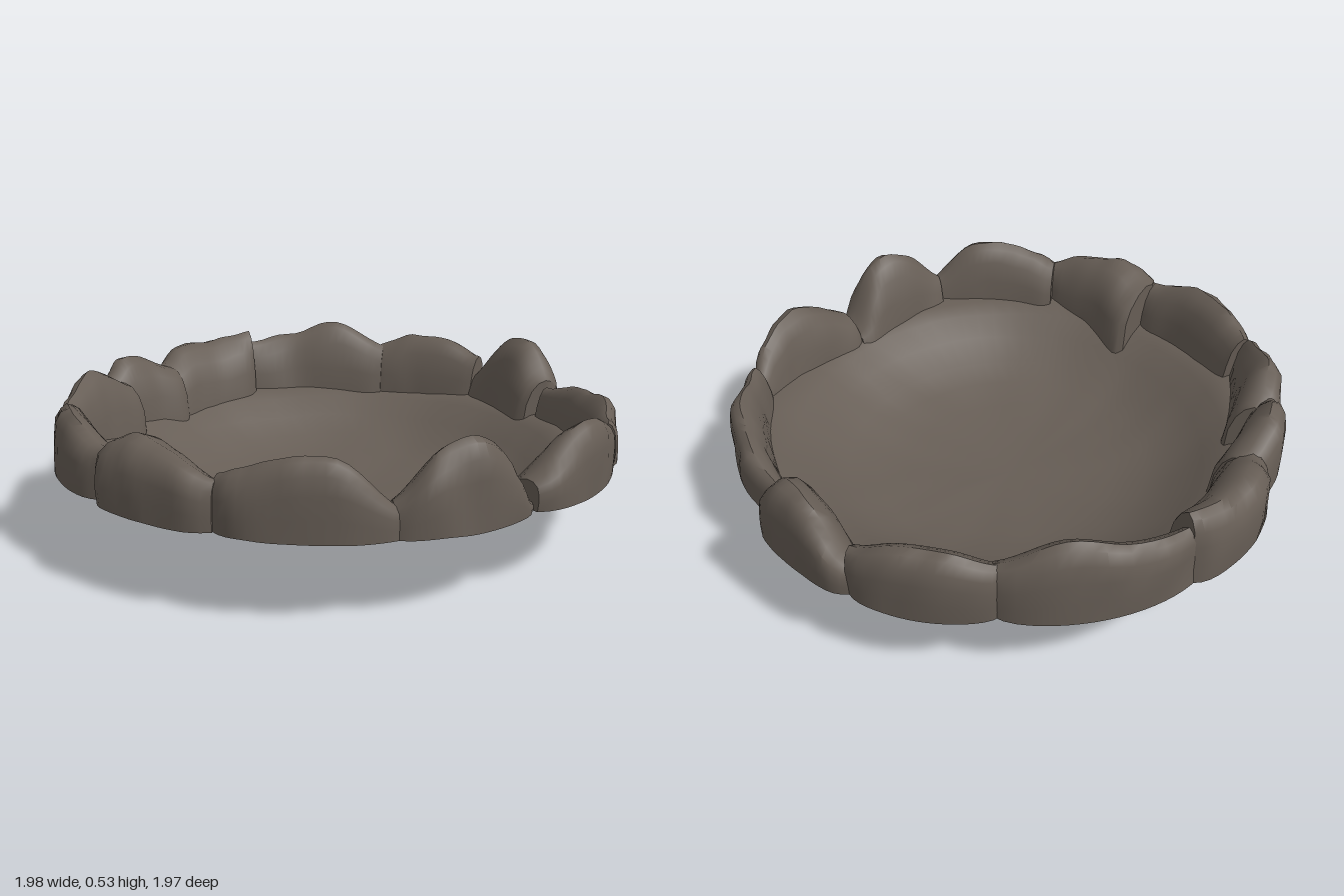
import * as THREE from 'three';
import { mergeVertices, toCreasedNormals } from 'three/addons/utils/BufferGeometryUtils.js';

const stoneMat = new THREE.MeshStandardMaterial({ color: 0x665d55 });
stoneMat.name = 'dark stone';

// Underside of the bowl: radius, height
const BOWL = [[0, 0.003], [0.2, 0.012], [0.38, 0.03], [0.5, 0.06], [0.6, 0.1], [0.7, 0.165], [0.78, 0.225], [0.84, 0.25], [0.93, 0.262]];

function bowlHeight(r) {
  const i = Math.max(1, BOWL.findIndex((p) => r <= p[0]));
  return THREE.MathUtils.mapLinear(r, BOWL[i - 1][0], BOWL[i][0], BOWL[i - 1][1], BOWL[i][1]);
}

// Gentle lumps, roughly -1 to 1
const lumps = (x, y, z) =>
  (Math.sin(9 * x + 4 * z + 5 * y) + Math.sin(13 * z - 6 * x + 2) + Math.sin(17 * x + 11 * y + 1) * 0.7) / 2.7;

// Thin bowl with an uneven surface
function makeBowl() {
  const under = BOWL.map(([r, y]) => new THREE.Vector2(r, y));
  const inside = BOWL.map(([r, y]) => new THREE.Vector2(r * 0.995, y + 0.014)).reverse();
  let geo = new THREE.LatheGeometry([...under, ...inside], 72);
  geo.deleteAttribute('uv');
  geo.deleteAttribute('normal');
  const p = geo.attributes.position;
  for (let i = 0; i < p.count; i++) {
    const x = p.getX(i), z = p.getZ(i);
    const bump = 0.006 * lumps(x, 0, z) + 0.003 * lumps(2.3 * z, 1, 2.3 * x) - 0.003;
    p.setY(i, Math.max(0, p.getY(i) + bump));
  }
  geo = mergeVertices(geo, 1e-4);
  geo.computeVertexNormals();
  return new THREE.Mesh(geo, stoneMat);
}

// Rim stones: start and end angle (from +x toward +z), outer radii, inner radii, four top heights
const STONES = [
  [-14.5, 12, 0.985, 1, 0.85, 0.77, 0.34, 0.5, 0.53, 0.4],
  [13.5, 54, 0.94, 0.985, 0.825, 0.88, 0.38, 0.42, 0.43, 0.4],
  [52.5, 87.5, 0.965, 0.97, 0.9, 0.78, 0.33, 0.46, 0.47, 0.34],
  [87.5, 116.5, 0.95, 0.985, 0.77, 0.85, 0.28, 0.49, 0.51, 0.36],
  [115, 147.5, 0.98, 0.98, 0.89, 0.8, 0.34, 0.49, 0.47, 0.41],
  [147, 175.5, 0.985, 0.985, 0.85, 0.67, 0.4, 0.46, 0.48, 0.43],
  [174.5, 208, 0.98, 0.975, 0.82, 0.83, 0.41, 0.46, 0.47, 0.42],
  [205.5, 234, 0.965, 0.94, 0.89, 0.74, 0.4, 0.46, 0.48, 0.42],
  [230.5, 254, 0.94, 0.935, 0.84, 0.725, 0.42, 0.49, 0.47, 0.42],
  [250.5, 281.5, 0.955, 0.99, 0.75, 0.81, 0.42, 0.48, 0.48, 0.51],
  [279, 319.5, 0.975, 0.95, 0.86, 0.79, 0.46, 0.48, 0.535, 0.43],
  [317.5, 346.5, 0.945, 0.985, 0.81, 0.845, 0.43, 0.49, 0.49, 0.42],
];

function makeStone([a0, a1, outer0, outer1, inner0, inner1, ...tops]) {
  const N = 18, M = 11, base = 0.255;
  const topLine = new THREE.SplineCurve(tops.map((h, i) => new THREE.Vector2(i, h)));
  const pos = [], index = [];
  for (let i = 0; i <= N; i++) {
    const s = i / N;
    const a = THREE.MathUtils.degToRad(THREE.MathUtils.lerp(a0, a1, s));
    const ri = THREE.MathUtils.lerp(inner0, inner1, s);
    const ro = Math.min(0.995, THREE.MathUtils.lerp(outer0, outer1, s) + 0.02 * Math.sin(Math.PI * s));
    const top = topLine.getPoint(s).y;
    const pinch = 1 - 0.28 * Math.abs(2 * s - 1) ** 8;
    const rimU = THREE.MathUtils.clamp((0.85 - ri) / (ro - ri), 0.1, 0.8);
    const up = (v) => base + (top - base) * v;
    // Cross-section: 0 inner to 1 outer edge, then height
    const section = [
      [1, base], [1, up(0.3)], [0.98, up(0.58)], [0.93, up(0.8)], [0.8, up(0.95)], [0.63, top],
      [0.41, up(0.91)], [0.21, up(0.69)], [0.07, up(0.34)],
      [0, bowlHeight(ri) + 0.008], [rimU, 0.258],
    ];
    section.forEach(([u, y], j) => {
      const r = ri + (ro - ri) * (0.5 + (u - 0.5) * pinch);
      const x = r * Math.cos(a), z = r * Math.sin(a);
      const n = (lumps(x * 1.6, y, z * 1.6) + 0.5 * lumps(z * 4, 3 * y, x * 4)) * (j > 0 && j < 9 ? 0.01 : 0.004);
      const f = Math.min(1 + n, 1 / r);
      pos.push(x * f, y + n, z * f);
    });
  }
  for (let i = 0; i < N; i++) for (let j = 0; j < M; j++) {
    const a = i * M + j, c = i * M + (j + 1) % M, b = a + M, d = c + M;
    index.push(a, c, b, b, c, d);
  }
  // End caps
  [0, N].forEach((row) => {
    const c = [0, 0, 0];
    for (let j = 0; j < M; j++) for (let q = 0; q < 3; q++) c[q] += pos[(row * M + j) * 3 + q] / M;
    const ci = pos.length / 3;
    pos.push(...c);
    for (let j = 0; j < M; j++) {
      const a = row * M + j, b = row * M + (j + 1) % M;
      if (row) index.push(ci, a, b); else index.push(ci, b, a);
    }
  });
  const geo = new THREE.BufferGeometry();
  geo.setAttribute('position', new THREE.Float32BufferAttribute(pos, 3));
  geo.setIndex(index);
  return new THREE.Mesh(toCreasedNormals(geo, 0.8), stoneMat);
}

export function createModel() {
  const model = new THREE.Group();
  model.name = 'stone fire bowl';
  const bowl = makeBowl();
  bowl.name = 'bowl';
  model.add(bowl);
  const ring = new THREE.Group();
  ring.name = 'rim stones';
  STONES.forEach((data, i) => {
    const stone = makeStone(data);
    stone.name = `rim stone ${i + 1}`;
    ring.add(stone);
  });
  model.add(ring);
  return model;
}
